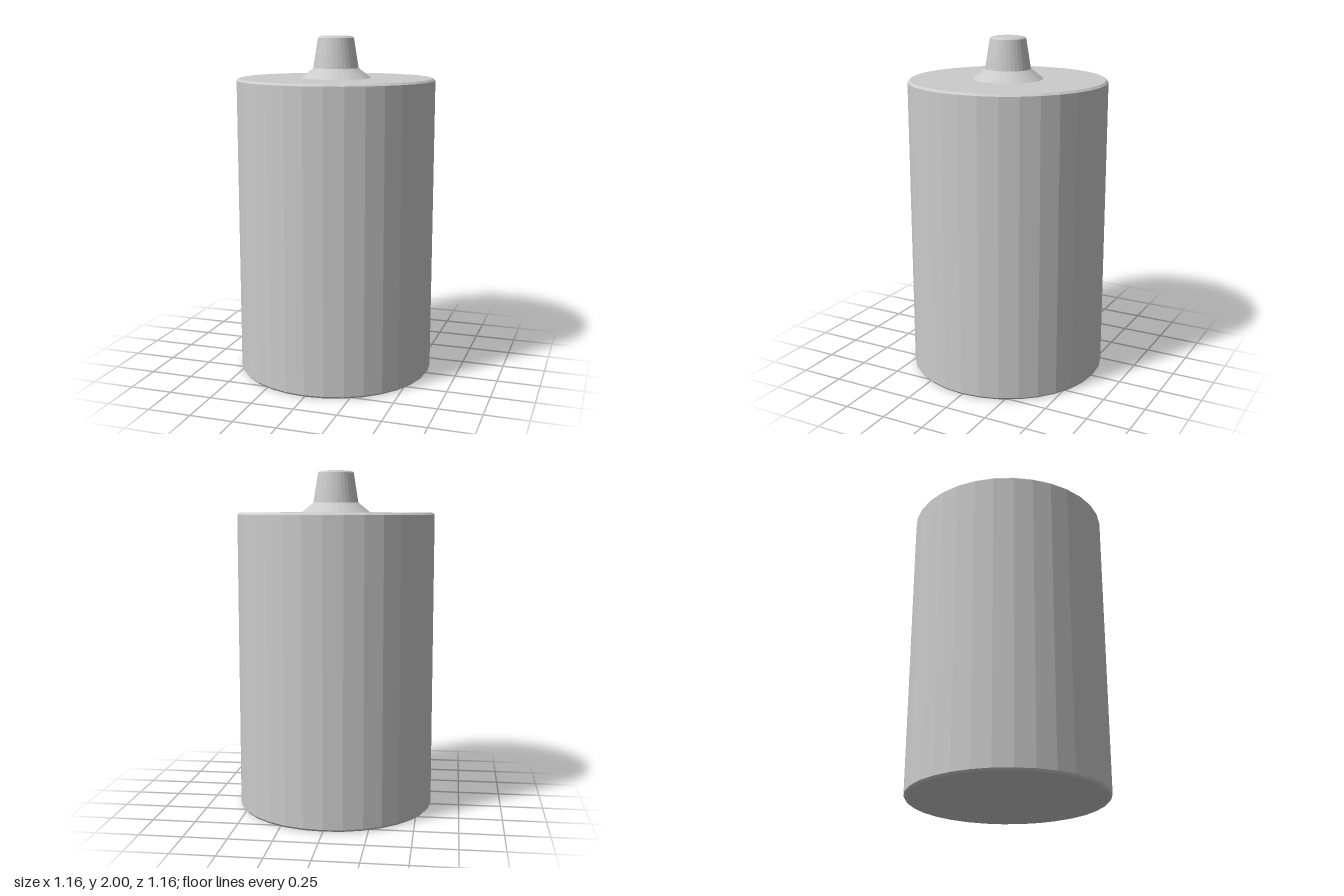
import * as THREE from 'three';

const SIDES = 32;
const material = new THREE.MeshStandardMaterial({ color: 0xcccccc, flatShading: true });

// Faceted turned part from [radius, height] pairs, listed bottom to top
function turned(name, profile) {
  const points = profile.map(([r, y]) => new THREE.Vector2(r, y));
  const mesh = new THREE.Mesh(new THREE.LatheGeometry(points, SIDES), material);
  mesh.name = name;
  return mesh;
}

export function createModel() {
  const group = new THREE.Group();
  group.name = 'canister';

  // Closed drum with small bevels on both rims
  group.add(turned('body', [
    [0, 0], [0.57, 0], [0.58, 0.012], [0.58, 1.745], [0.567, 1.757], [0, 1.757],
  ]));

  // Flared collar at the foot of the nozzle
  group.add(turned('collar', [[0.205, 1.757], [0.133, 1.815]]));

  // Tapered nozzle with a softly bevelled tip
  group.add(turned('nozzle', [
    [0.133, 1.815], [0.105, 1.988], [0.098, 1.995], [0.077, 2], [0, 2],
  ]));

  return group;
}
